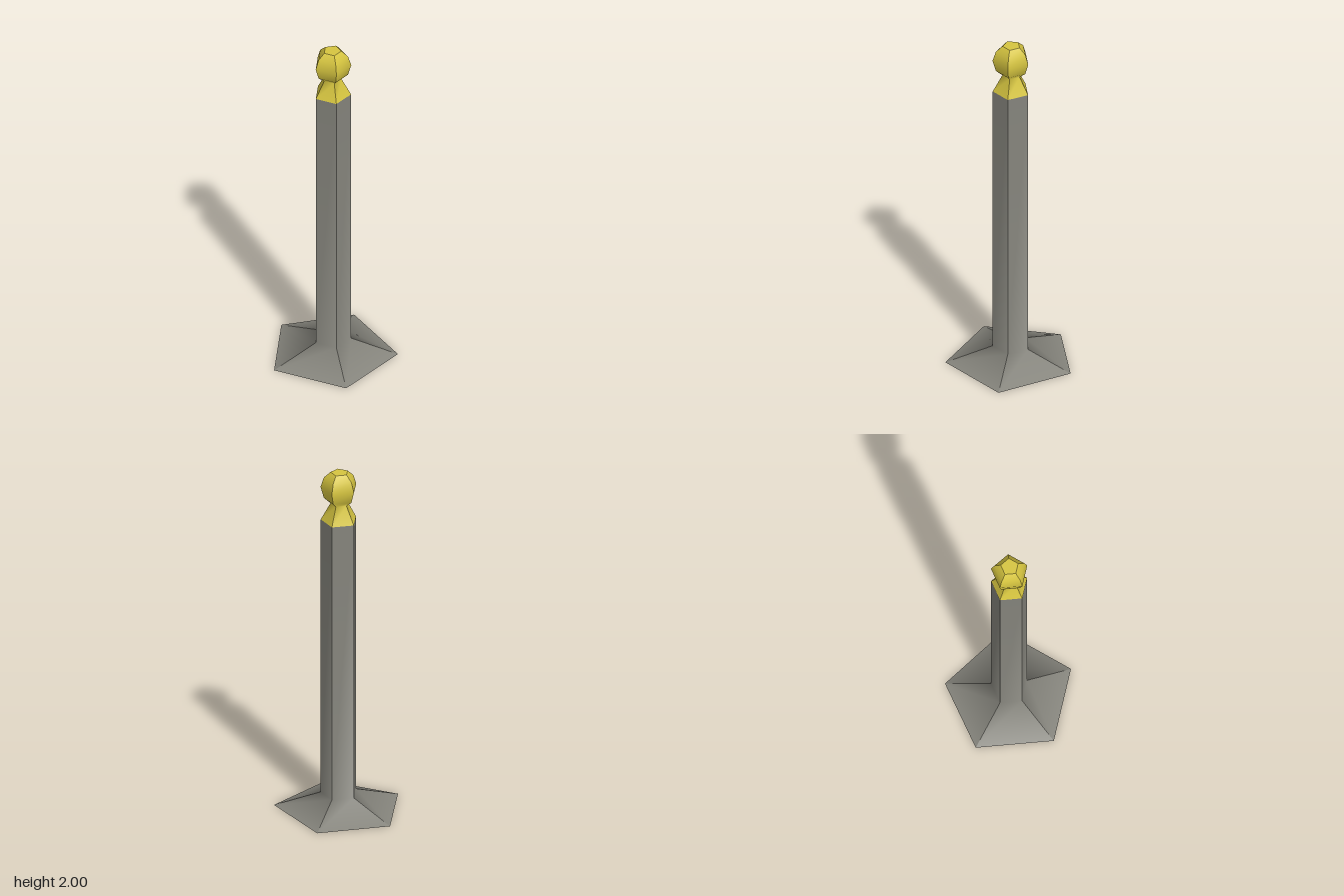
import * as THREE from 'three';

const SIDES = 5;

// Five-sided ring of points; its first corner points along +x.
function ring(y, r, cx = -0.031) {
  return Array.from({ length: SIDES }, (_, i) => {
    const a = (i / SIDES) * Math.PI * 2;
    return new THREE.Vector3(cx + r * Math.cos(a), y, r * Math.sin(a));
  });
}

// Panels share vertices vertically (smooth) but not with their neighbours (sharp corners).
function loft(rings, { top = false, bottom = false }) {
  const pos = [], idx = [];
  const add = (p) => pos.push(p.x, p.y, p.z) / 3 - 1;
  for (let i = 0; i < SIDES; i++) {
    const first = pos.length / 3;
    for (const r of rings) {
      add(r[i]);
      add(r[(i + 1) % SIDES]);
    }
    for (let j = 0; j < rings.length - 1; j++) {
      const b0 = first + j * 2, b1 = b0 + 1, t0 = b0 + 2, t1 = b0 + 3;
      idx.push(b1, b0, t0, b1, t0, t1);
    }
  }
  const cap = (r, up) => {
    const first = pos.length / 3;
    r.forEach(add);
    for (let i = 1; i < SIDES - 1; i++) {
      if (up) idx.push(first, first + i + 1, first + i);
      else idx.push(first, first + i, first + i + 1);
    }
  };
  if (bottom) cap(rings[0], false);
  if (top) cap(rings[rings.length - 1], true);
  const geo = new THREE.BufferGeometry();
  geo.setAttribute('position', new THREE.Float32BufferAttribute(pos, 3));
  geo.setIndex(idx);
  geo.computeVertexNormals();
  return geo;
}

export function createModel() {
  const group = new THREE.Group();
  group.name = 'post';
  const stone = new THREE.MeshStandardMaterial({ color: 0x85847c });
  stone.name = 'grey stone';
  const gold = new THREE.MeshStandardMaterial({ color: 0xd6c540 });
  gold.name = 'yellow gold';

  // Flared foot and shaft; one foot corner is slightly skewed
  const foot = ring(0, 0.362, -0.035);
  foot[4].x = 0.056;
  const shaft = new THREE.Mesh(
    loft([foot, ring(0.09, 0.103), ring(1.715, 0.103)], { bottom: true }), stone);
  shaft.name = 'shaftAndFoot';

  // Finial: tapered neck and faceted ball
  const profile = [
    [1.715, 0.103], [1.815, 0.05], [1.845, 0.086],
    [1.91, 0.104], [1.966, 0.086], [2.0, 0.05],
  ];
  const finial = new THREE.Mesh(
    loft(profile.map(([y, r]) => ring(y, r)), { top: true }), gold);
  finial.name = 'finial';

  group.add(shaft, finial);
  return group;
}
